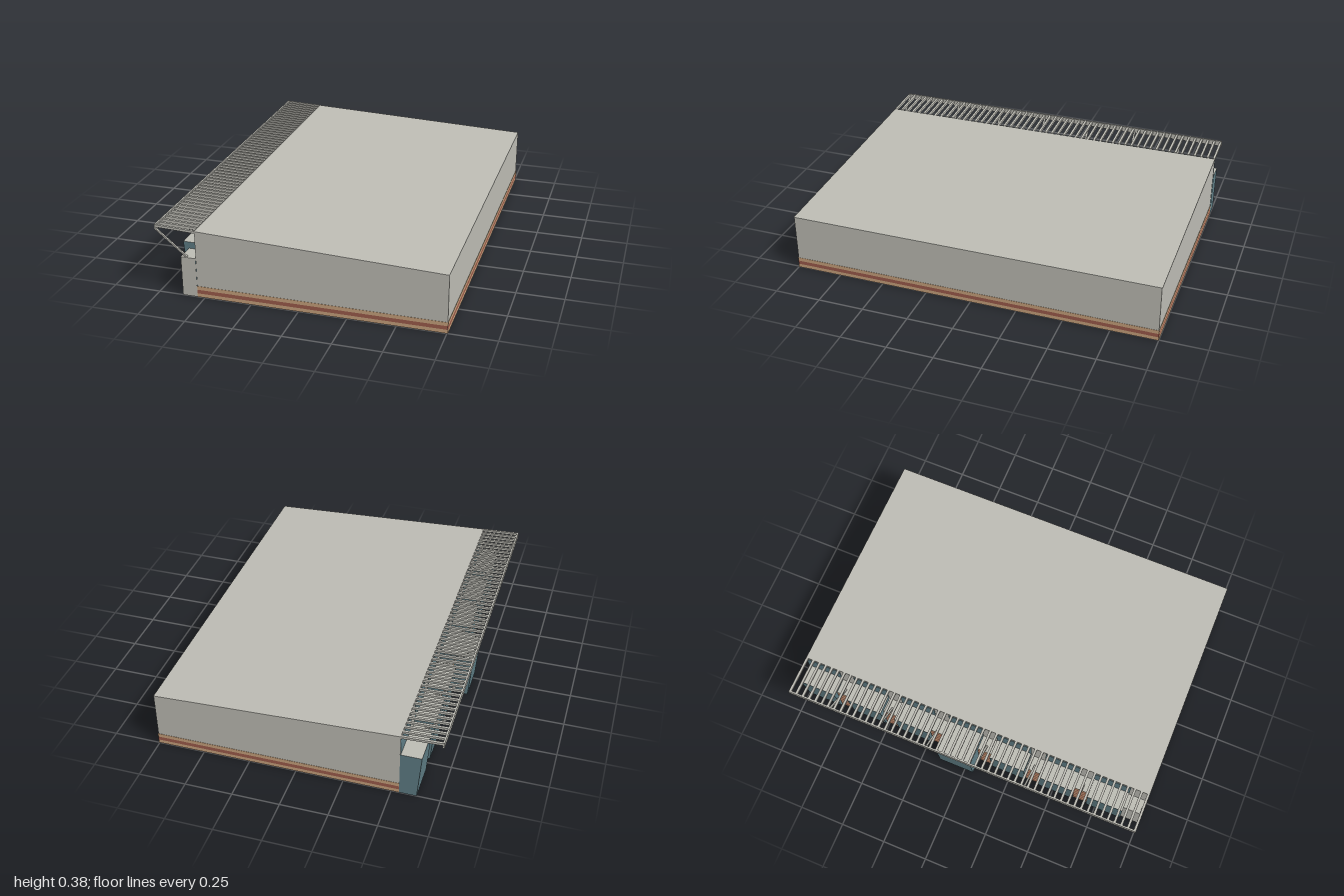
import * as THREE from 'three';
import { mergeGeometries } from 'three/addons/utils/BufferGeometryUtils.js';

const mat = (name, color) => {
  const m = new THREE.MeshStandardMaterial({ color, side: THREE.DoubleSide });
  m.name = name;
  return m;
};

// Flat open panel from four corners
function quad(a, b, c, d) {
  const g = new THREE.BufferGeometry();
  g.setAttribute('position', new THREE.Float32BufferAttribute([a, b, c, a, c, d].flat(), 3));
  g.computeVertexNormals();
  return g;
}

// Box from its limits
function box(x0, x1, y0, y1, z0, z1) {
  const g = new THREE.BoxGeometry(x1 - x0, y1 - y0, z1 - z0);
  g.translate((x0 + x1) / 2, (y0 + y1) / 2, (z0 + z1) / 2);
  return g;
}

export function createModel() {
  const grey = mat('warm grey', 0xbdbcb4);
  const blue = mat('slate blue', 0x5f7d85);
  const tan = mat('tan brick', 0xc8a27c);
  const red = mat('red brick', 0x9c5b4b);

  const model = new THREE.Group();
  const add = (name, geos, material, parent = model) => {
    const mesh = new THREE.Mesh(geos.length > 1 ? mergeGeometries(geos) : geos[0], material);
    mesh.name = name;
    parent.add(mesh);
    return mesh;
  };

  const XF = -0.54, XB = 0.753;       // shop wall and rear wall
  const YF = 0.365, YB = 0.313;       // roof heights over them
  const XL = -0.62, YL = 0.215;       // low pillars in front of the shop wall

  // Main hall: walls and sloping roof, open underneath
  const side = z => quad([XF, 0, z], [XB, 0, z], [XB, YB, z], [XF, YF, z]);
  add('hallWalls', [
    side(0.998), side(-0.998),
    quad([XB, 0, 0.998], [XB, 0, -0.998], [XB, YB, -0.998], [XB, YB, 0.998]),
    quad([XF, 0, -0.998], [XF, 0, 0.998], [XF, YF, 0.998], [XF, YF, -0.998]),
  ], grey);
  add('roof', [quad([XF, YF, 1], [XB, YB, 1], [XB, YB, -1], [XF, YF, -1])], grey);

  // Brick courses round the foot of three walls
  [tan, red, tan].forEach((material, i) => {
    const y0 = i * 0.02, y1 = y0 + 0.02;
    add('brickCourse', [
      box(XF, XB, y0, y1, 0.9985, 1), box(XF, XB, y0, y1, -1, -0.9985),
      box(XB + 0.0005, XB + 0.002, y0, y1, -1, 1),
    ], material);
  });

  // Window bays with leaning fronts; the middle one is the deep entrance
  const pitch = 0.283, bayWidth = 0.2, bayTop = 0.25;
  for (let i = 0; i < 7; i++) {
    const z0 = -1 + i * pitch, z1 = z0 + bayWidth;
    const xTop = i === 3 ? -0.725 : -0.65, xBase = xTop + 0.02;
    const cheek = z => quad([XF, 0, z], [xBase, 0, z], [xTop, bayTop, z], [XF, bayTop, z]);
    const bay = new THREE.Group();
    bay.name = i === 3 ? 'entranceBay' : 'windowBay';
    model.add(bay);
    add('bayShell', [
      cheek(z0), cheek(z1),
      quad([xBase, 0, z0], [xBase, 0, z1], [xTop, bayTop, z1], [xTop, bayTop, z0]),
    ], blue, bay);
    add('bayCap', [quad([XF, bayTop, z0], [XF, bayTop, z1], [xTop, bayTop, z1], [xTop, bayTop, z0])], grey, bay);
    add('upperWindow', [box(XF - 0.003, XF - 0.001, bayTop, 0.35, z0, z1)], blue, bay);
  }

  // Striped brick pillars between the bays, with grey caps
  const tans = [], reds = [], caps = [], bands = 11, h = (YL - 0.004) / bands;
  for (let i = 0; i < 6; i++) {
    const z0 = -1 + i * pitch + bayWidth + 0.001, z1 = -1 + (i + 1) * pitch - 0.001;
    for (let b = 0; b < bands; b++) {
      (b % 2 ? reds : tans).push(box(XL, XF + (b % 2 ? 0.002 : 0.001), b * h, (b + 1) * h, z0, z1));
    }
    caps.push(box(XL, XF, YL - 0.004, YL, z0, z1));
  }
  add('pillarTanBands', tans, tan);
  add('pillarRedBands', reds, red);
  add('pillarCaps', caps, grey);

  // Plain low wall closing the end of the shop front
  const zE = -1 + 6 * pitch + bayWidth;
  add('endWall', [
    quad([XL, 0, 1], [XF, 0, 1], [XF, YL, 1], [XL, YL, 1]),
    quad([XL, 0, zE], [XL, 0, 1], [XL, YL, 1], [XL, YL, zE]),
    quad([XL, YL, zE], [XL, YL, 1], [XF, YL, 1], [XF, YL, zE]),
  ], grey);

  // Slatted canopy: sloping slats with an outer fascia
  const slats = [], count = 54, w = 0.013;
  for (let i = 0; i < count; i++) {
    const z = -1 + w / 2 + i * (2 - w) / (count - 1);
    const g = new THREE.BoxGeometry(0.212, 0.013, w);
    g.rotateZ(-0.038);
    g.translate(-0.646, 0.3645, z);
    slats.push(g);
  }
  add('canopySlats', slats, grey);
  add('canopyFascia', [box(-0.755, -0.746, 0.346, 0.377, -1, 1)], grey);

  // Diagonal struts from the pillars to the fascia
  const struts = [];
  const dx = -0.163, dy = 0.135;
  for (let i = 0; i < 7; i++) {
    const z = i < 6 ? -1 + i * pitch + (pitch + bayWidth) / 2 : 0.994;
    const g = new THREE.BoxGeometry(Math.hypot(dx, dy), 0.008, 0.01);
    g.rotateZ(Math.atan2(dy, dx));
    g.translate(-0.587 + dx / 2, 0.216 + dy / 2, z);
    struts.push(g);
  }
  add('canopyStruts', struts, grey);

  return model;
}
